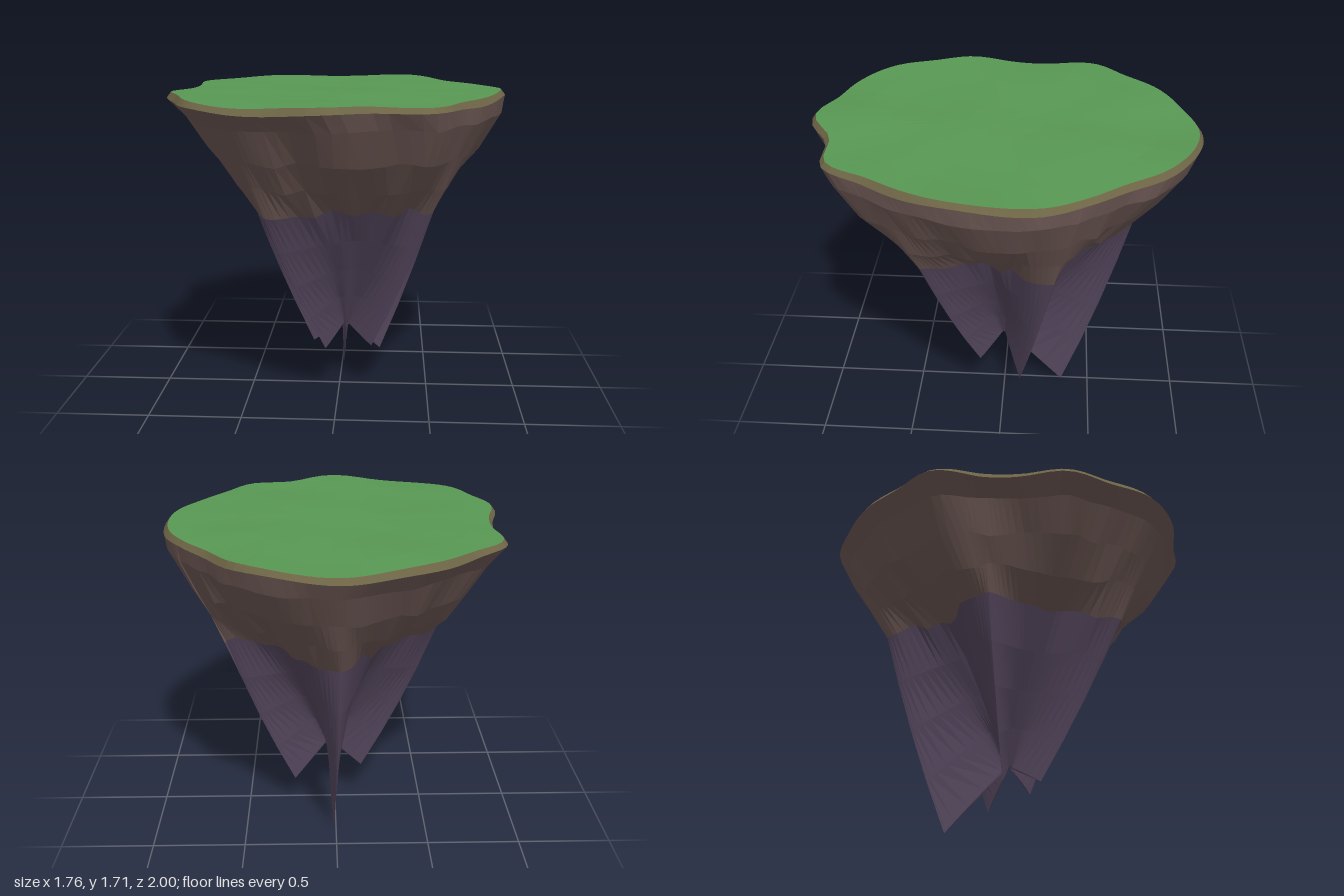
import * as THREE from 'three';

const rad = THREE.MathUtils.degToRad;
const lerp = THREE.MathUtils.lerp;

// Plan outline: radius every 15 degrees, from +x towards +z
const OUTLINE = [.88, .865, .86, .885, .97, .905, .998, .965, .995, .985, .92, .91,
  .83, .84, .945, .92, .945, .96, 1, .985, .945, .865, .865, .885];

const APEX = .38;      // height where the valleys meet
const CENTRE_X = .035; // the rock converges slightly off the middle
const SPLIT = 1.12;    // height where earth changes to stone
const PER_SECTOR = 28;

// Rock fins: lowest point of each one, sorted by angle around the apex
const FINS = [[.23, .18, -.10], [.185, .28, .13], [-.07, .27, .16], [-.15, .24, -.05], [.01, 0, -.34]]
  .map(([x, y, z]) => ({ angle: Math.atan2(z, x - CENTRE_X), r: Math.hypot(x - CENTRE_X, z), y }))
  .map(f => (f.angle < -.6 ? { ...f, angle: f.angle + 2 * Math.PI } : f))
  .sort((a, b) => a.angle - b.angle);

// Outline radius, smooth and periodic
function outline(angle) {
  const n = OUTLINE.length;
  const p = ((angle / rad(15)) % n + n) % n;
  const i = Math.floor(p), t = p - i;
  const [a, b, c, d] = [-1, 0, 1, 2].map(k => OUTLINE[(i + k + n) % n]);
  return b + .5 * t * (c - a + t * (2 * a - 5 * b + 4 * c - d + t * (3 * (b - c) + d - a)));
}

// Repeatable noise in -1..1
function noise(i, j) {
  const s = Math.sin(i * 127.1 + j * 311.7) * 43758.5453;
  return 2 * (s - Math.floor(s)) - 1;
}

// Columns around the island, crowded near each fin
const COLUMNS = [];
FINS.forEach((fin, k) => {
  const last = k === FINS.length - 1;
  const next = FINS[(k + 1) % FINS.length];
  const gap = next.angle + (last ? 2 * Math.PI : 0) - fin.angle;
  for (let s = 0; s < PER_SECTOR; s++) {
    const u = (1 - Math.cos(Math.PI * s / PER_SECTOR)) / 2;
    COLUMNS.push({
      angle: fin.angle + gap * u,
      fin: u < .5 ? fin : next,
      away: gap * Math.min(u, 1 - u),
    });
  }
});

const point = (angle, r, y, x = 0) => new THREE.Vector3(x + r * Math.cos(angle), y, r * Math.sin(angle));

// Faceted surface through rings of points
function skin(rings) {
  const pos = [];
  const tri = (a, b, c) => {
    const area = b.clone().sub(a).cross(c.clone().sub(a)).length();
    if (area > 1e-9) for (const p of [a, b, c]) pos.push(p.x, p.y, p.z);
  };
  for (let i = 0; i + 1 < rings.length; i++) {
    const n = rings[i].length;
    for (let j = 0; j < n; j++) {
      const k = (j + 1) % n;
      tri(rings[i][j], rings[i][k], rings[i + 1][j]);
      tri(rings[i][k], rings[i + 1][k], rings[i + 1][j]);
    }
  }
  const geometry = new THREE.BufferGeometry();
  geometry.setAttribute('position', new THREE.Float32BufferAttribute(pos, 3));
  geometry.computeVertexNormals();
  return geometry;
}

const ring = make => COLUMNS.map(make);
const wave = a => .007 * Math.sin(5 * a + 1) + .005 * Math.sin(9 * a);

// Gently uneven grass height
const grassHeight = (x, z) => 1.695 + .004 * Math.sin(7 * x + 3 * z) + .004 * Math.sin(9 * z - 4 * x);

function grassRing(f) {
  return ring(c => {
    const r = (outline(c.angle) - .022) * f;
    const p = point(c.angle, r, 0);
    p.y = grassHeight(p.x, p.z) + wave(c.angle) * .8 * f * f;
    return p;
  });
}

// Smoothly varying roughness around a ring
function roughness(i, angle) {
  const p = angle / .13, j = Math.floor(p);
  return lerp(noise(i, j), noise(i, j + 1), p - j);
}

// Rock ring: blends the valley profile into the fin profile
function rockRing(row, i) {
  return ring(c => {
    const R = outline(c.angle);
    const w = Math.exp(-Math.pow(c.away / row.spread, 1.3));
    const t = row.drop;
    const finR = t ? lerp(.7 * R, c.fin.r, t) + .08 * t * (1 - t) : row.fin * R;
    const valleyR = t ? lerp(.44 * R, .02, t) : row.valley * R;
    const finY = t ? lerp(SPLIT, c.fin.y, t) : row.y;
    const valleyY = t ? lerp(SPLIT, APEX, t) : row.y;
    const rough = row.rough || 0;
    return point(c.angle,
      lerp(valleyR, finR, w) * (1 + .5 * rough * roughness(i, c.angle)),
      lerp(valleyY, finY, w) + rough * roughness(i + 20, c.angle),
      CENTRE_X);
  });
}

export function createModel() {
  const group = new THREE.Group();
  group.name = 'floatingIsland';
  const material = (name, color) => {
    const m = new THREE.MeshStandardMaterial({ color });
    m.name = name;
    return m;
  };
  const add = (name, rings, mat) => {
    const mesh = new THREE.Mesh(skin(rings), mat);
    mesh.name = name;
    group.add(mesh);
  };

  // Grass top
  const grass = [0, .2, .4, .6, .8, 1].map(grassRing);
  add('grassTop', grass, material('grassGreen', 0x589853));

  // Soil lip around the grass
  const lip = ring(c => point(c.angle, outline(c.angle), 1.665 + wave(c.angle)));
  add('soilLip', [grass[grass.length - 1], lip], material('soilOlive', 0x6e6546));

  // Earth walls
  const earth = [
    { y: 1.58, fin: .95, valley: .94, spread: .6, rough: .01 },
    { y: 1.41, fin: .86, valley: .81, spread: .5, rough: .025 },
    { y: 1.26, fin: .78, valley: .64, spread: .42, rough: .025 },
    { y: SPLIT, fin: .70, valley: .44, spread: .37, rough: .03 },
  ].map(rockRing);
  add('earthWalls', [lip, ...earth], material('earthBrown', 0x6e5955));

  // Stone fins, closing at the apex
  const stone = [
    { drop: .25, spread: .29 },
    { drop: .5, spread: .21 },
    { drop: .75, spread: .13 },
    { drop: 1, spread: .06 },
  ].map(rockRing);
  const apex = ring(() => new THREE.Vector3(CENTRE_X, APEX, 0));
  add('stoneFins', [earth[earth.length - 1], ...stone, apex], material('stonePurple', 0x55475e));

  return group;
}
